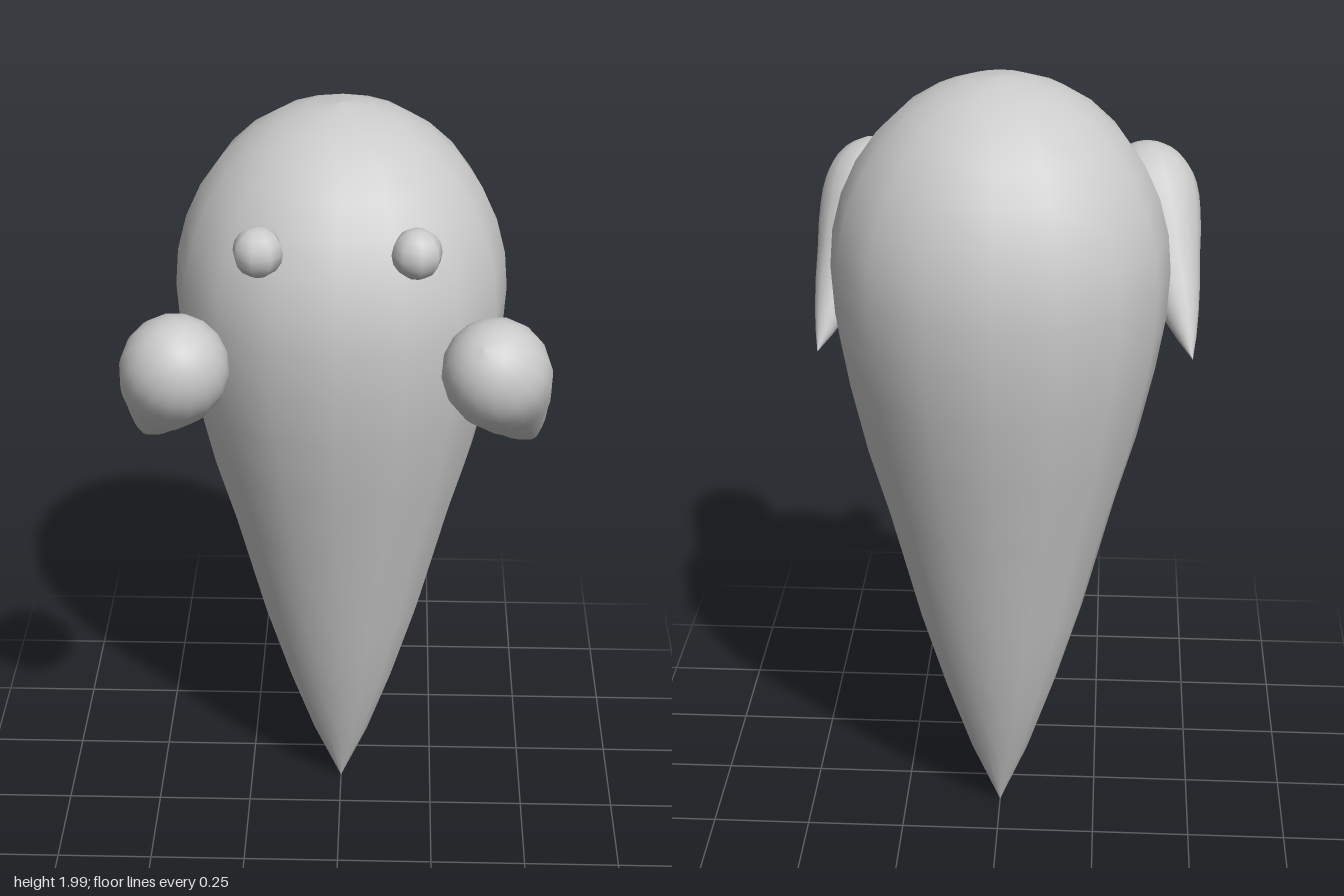
import * as THREE from 'three';

const material = new THREE.MeshStandardMaterial({ color: 0xcccccc });

// Teardrop profile, from the pointed tip at the bottom up to the widest ring
const TIP_Y = 0.01, WIDEST_Y = 1.53, RADIUS = 0.405, CAP = 0.47;
const BALL_Y = 1.585; // middle of the rounded end
const taper = [
  [0, TIP_Y], [0.078, 0.2], [0.145, 0.4], [0.21, 0.62], [0.285, 0.92],
  [0.336, 1.1], [0.376, 1.28], [0.398, 1.41],
];

function teardropGeometry() {
  const points = taper.map(([r, y]) => new THREE.Vector2(r, y));
  // Domed cap
  const rings = 8;
  for (let i = 0; i <= rings; i++) {
    const a = (i / rings) * Math.PI / 2;
    points.push(new THREE.Vector2(i === rings ? 0 : RADIUS * Math.cos(a), WIDEST_Y + CAP * Math.sin(a)));
  }
  return new THREE.LatheGeometry(points, 16);
}

export function createModel() {
  const group = new THREE.Group();
  const drop = teardropGeometry();

  function add(name, geometry, x, y, z) {
    const mesh = new THREE.Mesh(geometry, material);
    mesh.name = name;
    mesh.position.set(x, y, z);
    group.add(mesh);
    return mesh;
  }

  // Body
  add('body', drop, 0, 0, -0.115);

  // Small teardrop for the hands, with its tip at the origin
  const handGeometry = drop.clone().translate(0, -TIP_Y, 0);
  const eyeGeometry = new THREE.SphereGeometry(0.059, 8, 8);

  for (const [side, label] of [[1, 'left'], [-1, 'right']]) {
    // Eye
    const eye = add(label + 'Eye', eyeGeometry, side * 0.18, 1.765, 0.215);
    eye.rotation.y = side * 0.2;

    // Floating hand, aimed from its tip towards its rounded end
    const tip = new THREE.Vector3(side * 0.475, 1.22, 0.085);
    const ball = new THREE.Vector3(side * 0.357, 1.565, 0.395);
    const axis = ball.clone().sub(tip);
    const hand = add(label + 'Hand', handGeometry, tip.x, tip.y, tip.z);
    hand.scale.setScalar(axis.length() / (BALL_Y - TIP_Y));
    hand.quaternion.setFromUnitVectors(new THREE.Vector3(0, 1, 0), axis.normalize());
  }

  return group;
}
